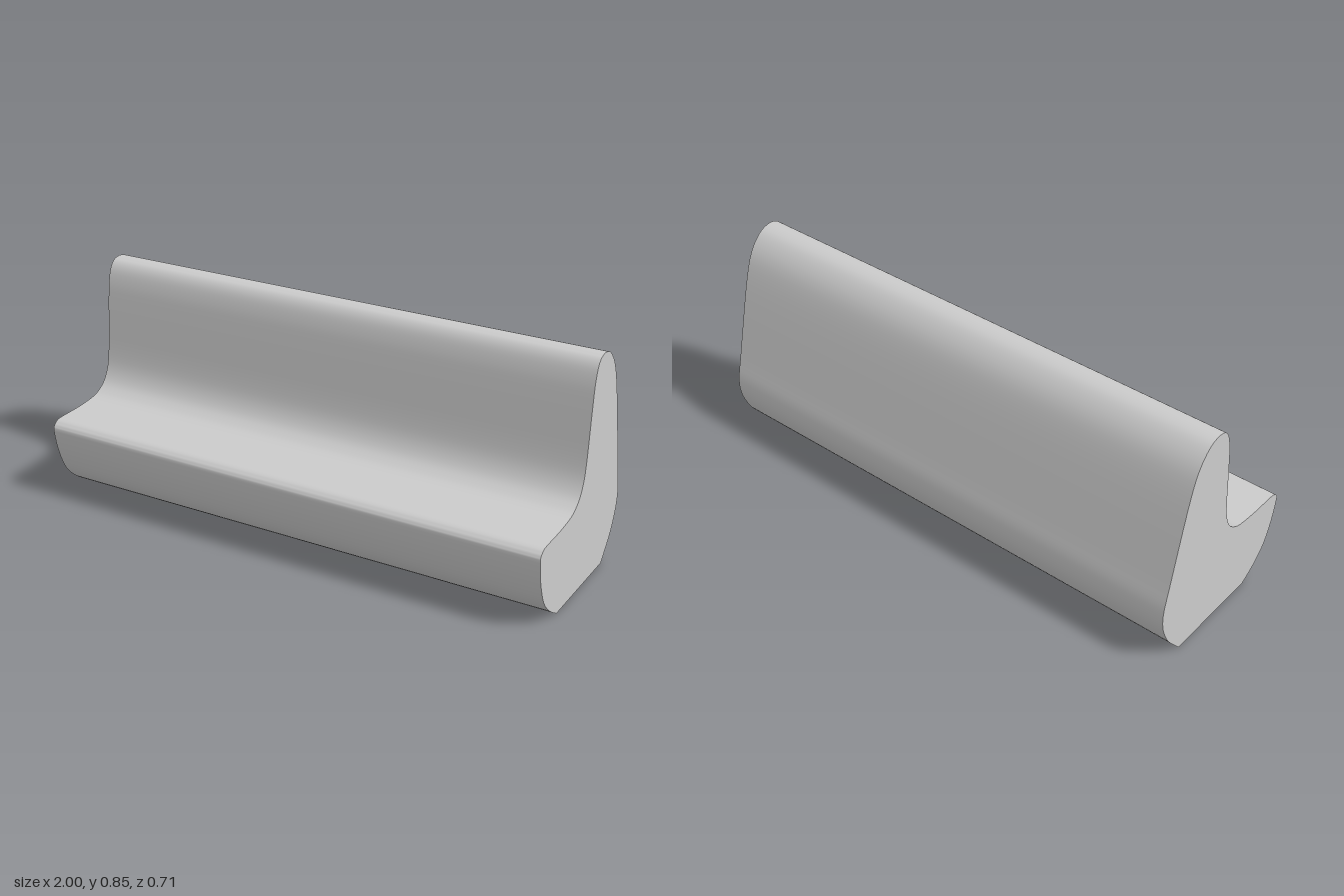
import * as THREE from 'three';
import { toCreasedNormals } from 'three/addons/utils/BufferGeometryUtils.js';

const LENGTH = 1.994;

// Side outline as [z, y], from the bottom front edge over the top to the bottom back edge
const OUTLINE = [
  [0.173, 0], [0.238, 0.043], [0.294, 0.103], [0.33, 0.192], [0.346, 0.275], [0.342, 0.298],
  [0.323, 0.313], [0.292, 0.318], [0.192, 0.32], [0.102, 0.33], [0.061, 0.347],
  [0.028, 0.376], [0.003, 0.427], [-0.01, 0.499], [-0.019, 0.6], [-0.028, 0.7],
  [-0.035, 0.756], [-0.048, 0.805], [-0.066, 0.832], [-0.088, 0.843], [-0.115, 0.845],
  [-0.151, 0.834], [-0.185, 0.805], [-0.214, 0.763], [-0.237, 0.705], [-0.263, 0.61],
  [-0.297, 0.465], [-0.326, 0.338], [-0.341, 0.275], [-0.346, 0.226], [-0.339, 0.175],
  [-0.319, 0.123], [-0.29, 0.074], [-0.227, 0],
];

export function createModel() {
  const group = new THREE.Group();
  group.name = 'bench';

  // Rounded outline with a flat base; the shape's x axis becomes -z
  const curve = new THREE.SplineCurve(OUTLINE.map(([z, y]) => new THREE.Vector2(-z, y)));
  const shape = new THREE.Shape(curve.getPoints((OUTLINE.length - 1) * 3));

  // Solid body drawn out along x, smooth except at the ends and base
  const extruded = new THREE.ExtrudeGeometry(shape, { depth: LENGTH, bevelEnabled: false });
  extruded.translate(0, 0, -LENGTH / 2);
  extruded.rotateY(Math.PI / 2);
  const body = new THREE.Mesh(
    toCreasedNormals(extruded, 0.5),
    new THREE.MeshStandardMaterial({ color: 0xcccccc }),
  );
  body.name = 'benchBody';
  body.rotation.y = -0.008; // slight turn of the whole bench
  group.add(body);
  return group;
}
